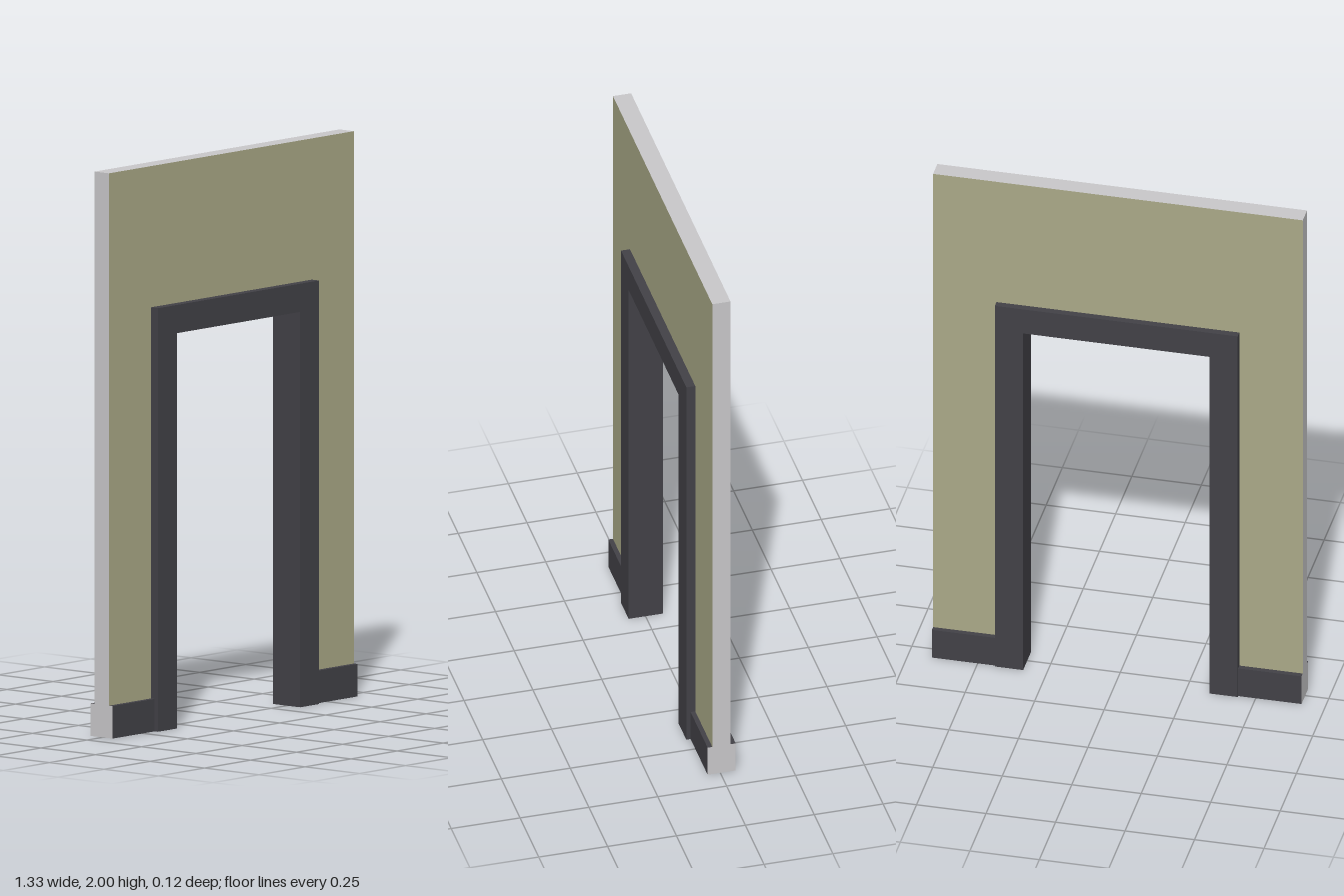
import * as THREE from 'three';

const HALF_W = 0.665, TOP = 2, SKIRT_H = 0.115;
const FRAME_OUT = 0.437, FRAME_TOP = 1.5, FRAME_IN = 0.335, FRAME_IN_TOP = 1.4;

// Upside-down U outline, extruded from zBack to zFront
function archGeometry(outer, top, inner, innerTop, bottom, zBack, zFront) {
  const shape = new THREE.Shape([
    [-outer, bottom], [-inner, bottom], [-inner, innerTop], [inner, innerTop],
    [inner, bottom], [outer, bottom], [outer, top], [-outer, top],
  ].map(([x, y]) => new THREE.Vector2(x, y)));
  const geometry = new THREE.ExtrudeGeometry(shape, { depth: zFront - zBack, bevelEnabled: false });
  return geometry.translate(0, 0, zBack);
}

export function createModel() {
  const paint = new THREE.MeshStandardMaterial({ color: 0xaaa987 });
  paint.name = 'khaki wall paint';
  const core = new THREE.MeshStandardMaterial({ color: 0xc8c7c9 });
  core.name = 'pale grey cut edge';
  const trim = new THREE.MeshStandardMaterial({ color: 0x424147 });
  trim.name = 'charcoal trim';

  const model = new THREE.Group();
  model.name = 'doorwayWall';
  const add = (name, geometry, material) => {
    const mesh = new THREE.Mesh(geometry, material);
    mesh.name = name;
    model.add(mesh);
    return mesh;
  };

  // Wall panel: painted faces, bare edges; its opening is hidden inside the frame
  add('wall', archGeometry(HALF_W, TOP, 0.39, 1.45, SKIRT_H, -0.037, 0.029), [paint, core]);

  // Door frame, standing proud on both faces
  add('doorFrame', archGeometry(FRAME_OUT, FRAME_TOP, FRAME_IN, FRAME_IN_TOP, 0, -0.0625, 0.0615), trim);

  // Skirting blocks either side of the frame, with bare ends and undersides
  const skirtW = HALF_W - FRAME_OUT;
  for (const [name, side] of [['leftSkirting', 1], ['rightSkirting', -1]]) {
    const skirting = add(name, new THREE.BoxGeometry(skirtW, SKIRT_H, 0.102),
      [core, core, trim, core, trim, trim]);
    skirting.position.set(side * (FRAME_OUT + skirtW / 2), SKIRT_H / 2, -0.005);
  }
  return model;
}
